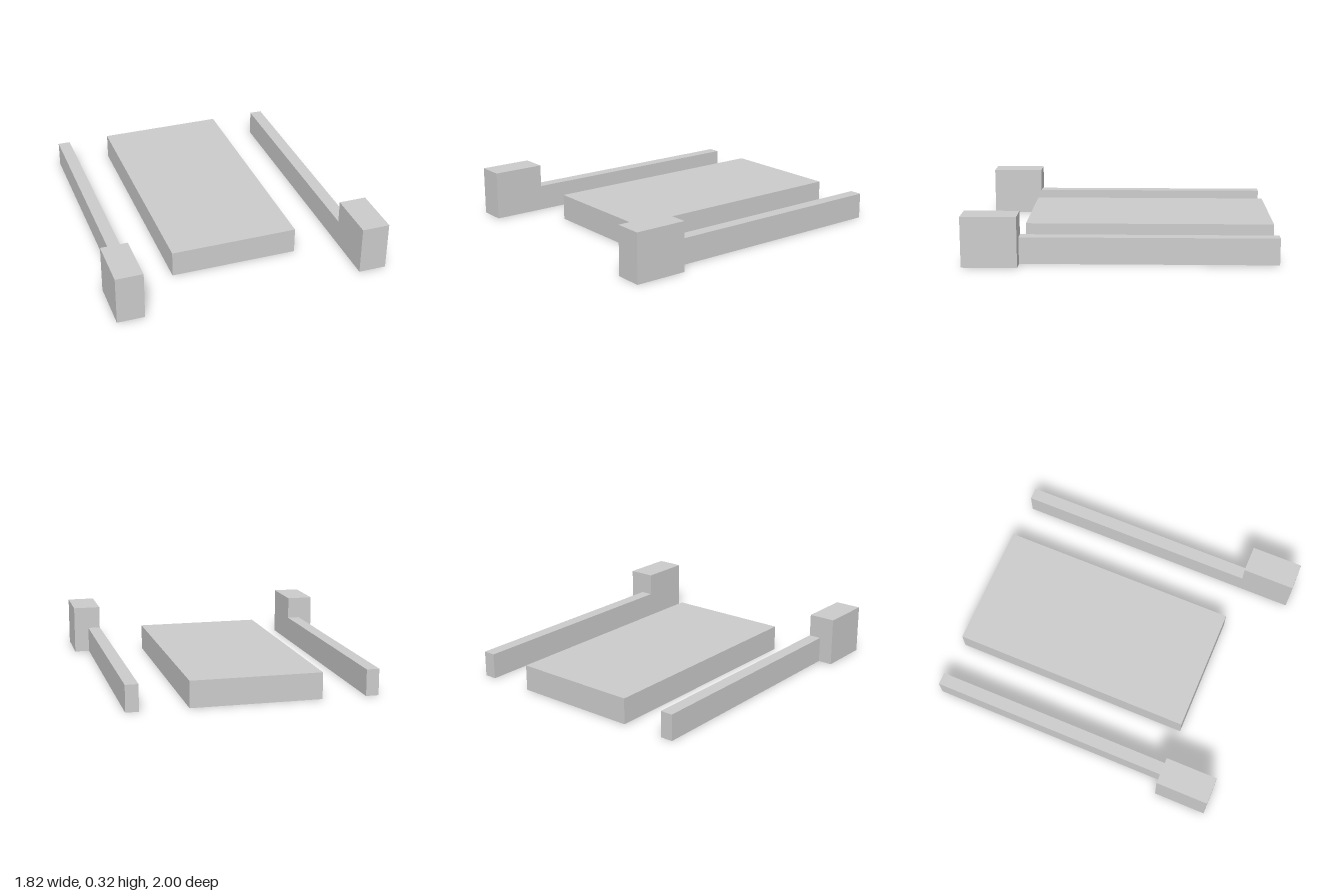
import * as THREE from 'three';

export function createModel() {
  const model = new THREE.Group();
  const material = new THREE.MeshStandardMaterial({ color: 0xcccccc, flatShading: true });

  // Box standing on the ground, given by its x and z limits and its height
  function addBlock(parent, name, [x0, x1], [z0, z1], height) {
    const mesh = new THREE.Mesh(new THREE.BoxGeometry(x1 - x0, height, z1 - z0), material);
    mesh.position.set((x0 + x1) / 2, height / 2, (z0 + z1) / 2);
    mesh.name = name;
    parent.add(mesh);
  }

  const railHeight = 0.173;
  const postHeight = 0.325;
  const postBack = 0.647;

  // Wide slab in the middle, slightly off centre
  addBlock(model, 'centreSlab', [-0.44, 0.413], [-1, 0.643], railHeight);

  // Side walls: a long low rail ending in a taller post at the front
  const sides = [
    { name: 'left', rail: [0.725, 0.809], post: [0.725, 0.91] },
    { name: 'right', rail: [-0.814, -0.73], post: [-0.91, -0.73] },
  ];
  for (const { name, rail, post } of sides) {
    const wall = new THREE.Group();
    wall.name = `${name}Wall`;
    addBlock(wall, `${name}Rail`, rail, [-1, postBack], railHeight);
    addBlock(wall, `${name}Post`, post, [postBack, 1], postHeight);
    model.add(wall);
  }

  return model;
}
